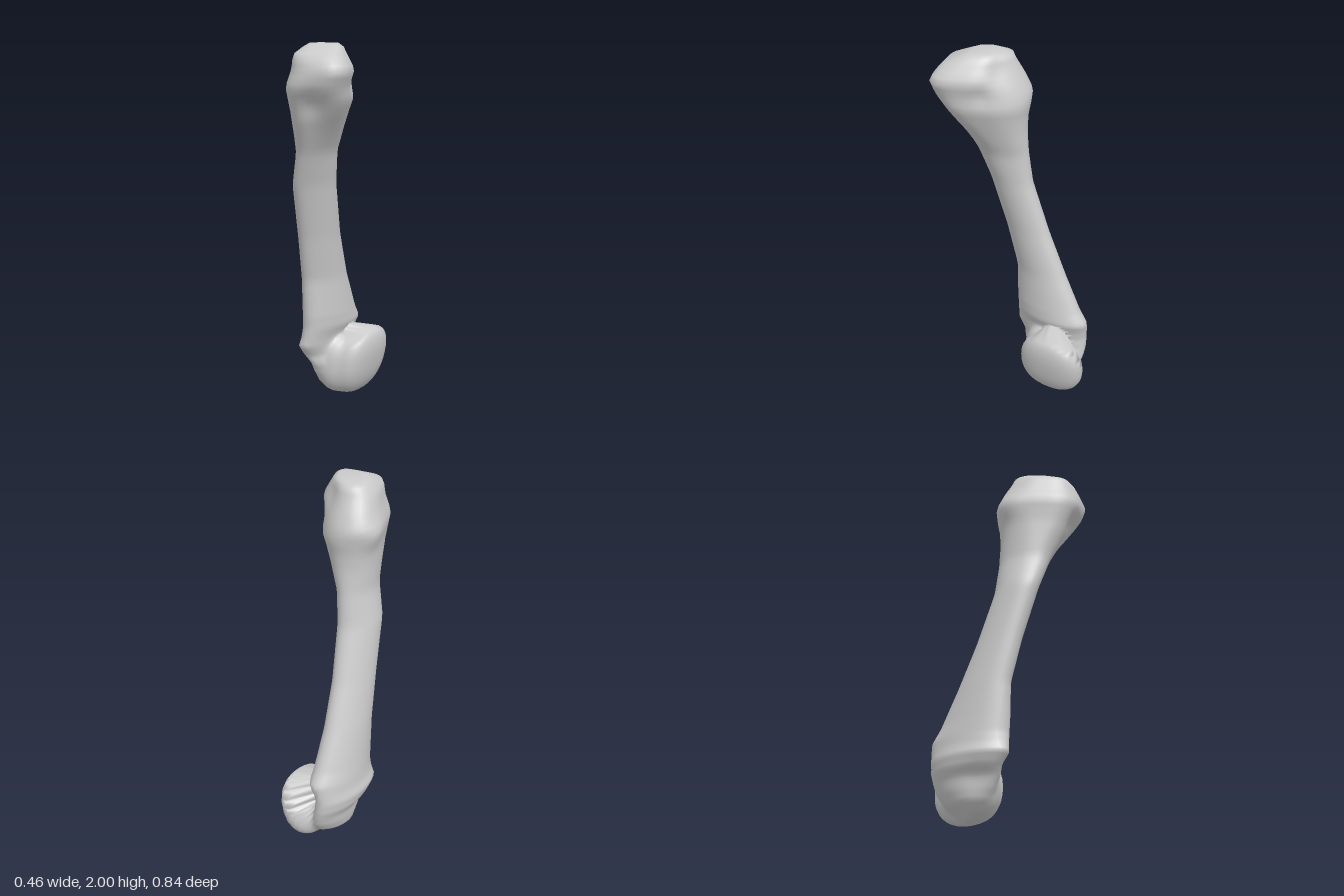
import * as THREE from 'three';

const SIDES = 48;
const { smoothstep, lerp } = THREE.MathUtils;

// Shaft sections from bottom to top: y, min x, max x, min z, max z, skew
const SECTIONS = [
  [0.0, -0.02, 0.02, -0.24, -0.20, -0.5],
  [0.03, -0.07, 0.05, -0.27, -0.17, -0.5],
  [0.08, -0.13, 0.07, -0.34, -0.115, -0.5],
  [0.14, -0.155, 0.06, -0.38, -0.08, -0.6],
  [0.20, -0.17, 0.05, -0.40, -0.055, -0.65],
  [0.25, -0.205, 0.04, -0.41, -0.045, -0.65],
  [0.31, -0.228, 0.035, -0.412, -0.01, -0.65],
  [0.36, -0.212, 0.045, -0.412, -0.01, -0.65],
  [0.42, -0.205, 0.07, -0.412, -0.01, -0.6],
  [0.49, -0.205, 0.055, -0.37, -0.005, -0.55],
  [0.70, -0.207, 0.02, -0.28, 0.0, -0.5],
  [0.95, -0.212, -0.002, -0.185, 0.06, -0.45],
  [1.25, -0.222, -0.006, -0.09, 0.15, -0.4],
  [1.43, -0.192, 0.008, -0.067, 0.212, -0.3],
  [1.57, -0.20, 0.055, -0.06, 0.28, -0.1],
  [1.65, -0.205, 0.085, -0.065, 0.325, 0],
  [1.72, -0.215, 0.112, -0.078, 0.365, 0.05],
  [1.78, -0.225, 0.11, -0.083, 0.398, 0.12],
  [1.87, -0.195, 0.133, -0.04, 0.414, 0.25],
  [1.945, -0.182, 0.09, 0.0, 0.36, 0.1],
  [1.98, -0.145, 0.07, 0.015, 0.28, 0.2],
  [2.0, -0.11, 0.04, 0.08, 0.22, 0.2],
];

// Joint lobes at the lower end: half sizes, centre, turn and sideways lean
const LOBES = [
  { size: [0.09, 0.194, 0.193], at: [0.106, 0.197, -0.23], turn: -0.43, lean: 0.22 }, // inner knuckle
  { size: [0.125, 0.17, 0.11], at: [-0.015, 0.185, -0.17], turn: 0.1, lean: 0 }, // front joint surface
];

// Local swellings and hollows: x, y, z, radius, outward amount
const BUMPS = [
  [-0.08, 1.69, 0.36, 0.07, -0.025], // front groove under the head
  [0.10, 1.93, 0.03, 0.09, -0.035], // scooped inner back corner
  [-0.19, 1.74, 0.0, 0.06, 0.02], // small outer knob
  [0.10, 1.80, 0.16, 0.05, -0.015], // hollow on the inner side
  [-0.19, 0.18, -0.17, 0.08, -0.015], // hollow below the outer ridge
];

// Shaft section at any height
function sectionAt(y) {
  const i = Math.max(1, SECTIONS.findIndex((s) => s[0] >= y - 1e-6));
  const lo = SECTIONS[i - 1], hi = SECTIONS[i];
  const f = (y - lo[0]) / (hi[0] - lo[0]);
  const [, x0, x1, z0, z1, skew] = lo.map((v, k) => lerp(v, hi[k], f));
  return { cx: (x0 + x1) / 2, cz: (z0 + z1) / 2, a: (x1 - x0) / 2, b: (z1 - z0) / 2, skew };
}

// Superellipse radius: 1 on the surface
const radius = (power, ...v) =>
  v.reduce((sum, c) => sum + Math.abs(c) ** power, 0) ** (1 / power);

// Smoothly blended solid: positive inside
function solid(x, y, z, s) {
  const u = (x - s.cx) / s.a;
  const w = ((z - s.cz) / s.b - u * Math.sin(s.skew)) / Math.cos(s.skew);
  // The head has a squarer front than back
  const boxy = 1.1 * smoothstep(y, 1.45, 1.7) * smoothstep(w, 0, 0.5);
  const fields = [1 - radius(2.15 + boxy, u, w)];
  for (const { size, at, turn, lean } of LOBES) {
    const dx = x - at[0] - lean * (y - at[1]), dz = z - at[2];
    const c = Math.cos(turn), n = Math.sin(turn);
    fields.push(1 - radius(2.3, (dx * c - dz * n) / size[0], (y - at[1]) / size[1],
      (dx * n + dz * c) / size[2]));
  }
  const k = 0.06;
  return k * Math.log(fields.reduce((sum, f) => sum + Math.exp(f / k), 0));
}

// Outermost surface point along a ray from the section centre
function reach(px, y, pz, dx, dz, s) {
  const inside = (r) => solid(px + dx * r, y, pz + dz * r, s) > 0;
  let r = 0.45;
  while (r > 0.01 && !inside(r)) r -= 0.005;
  let lo = r, hi = r + 0.005;
  for (let i = 0; i < 8; i++) {
    const mid = (lo + hi) / 2;
    if (inside(mid)) lo = mid;
    else hi = mid;
  }
  return lo;
}

// Rings stacked from bottom to top, closed at both ends
function buildBone() {
  const heights = [0.006, 0.012];
  for (let y = 0.025; y < 0.52; y += 0.015) heights.push(y);
  for (let y = 0.54; y < 1.99; y += 0.03) heights.push(y);
  heights.push(1.99, 2.0);

  const pos = [], index = [], centres = [];
  for (const y of heights) {
    const s = sectionAt(y);
    const low = 1 - smoothstep(y, 0, 0.5);
    const px = lerp(s.cx, 0.06, low), pz = lerp(s.cz, -0.23, low);
    centres.push([px, y, pz]);
    for (let j = 0; j < SIDES; j++) {
      const t = (j / SIDES) * Math.PI * 2;
      const dx = Math.cos(t), dz = Math.sin(t);
      const r = reach(px, y, pz, dx, dz, s);
      let push = 0;
      for (const [bx, by, bz, size, amount] of BUMPS) {
        const d2 = (px + dx * r - bx) ** 2 + (y - by) ** 2 + (pz + dz * r - bz) ** 2;
        push += amount * Math.exp(-d2 / (size * size));
      }
      pos.push(px + dx * (r + push), y, pz + dz * (r + push));
    }
  }
  const last = heights.length - 1;
  const bottom = pos.length / 3, top = bottom + 1;
  pos.push(centres[0][0], 0, centres[0][2], ...centres[last]);
  for (let j = 0; j < SIDES; j++) {
    const k = (j + 1) % SIDES;
    for (let i = 0; i < last; i++) {
      const a = i * SIDES + j, b = i * SIDES + k;
      index.push(a, a + SIDES, b, b, a + SIDES, b + SIDES);
    }
    index.push(bottom, j, k, top, last * SIDES + k, last * SIDES + j);
  }
  const g = new THREE.BufferGeometry();
  g.setAttribute('position', new THREE.Float32BufferAttribute(pos, 3));
  g.setIndex(index);
  g.computeVertexNormals();
  return g;
}

export function createModel() {
  const group = new THREE.Group();
  group.name = 'legBone';
  const bone = new THREE.Mesh(buildBone(), new THREE.MeshStandardMaterial({ color: 0xcccccc }));
  bone.name = 'boneShaftWithJoints';
  group.add(bone);
  return group;
}
